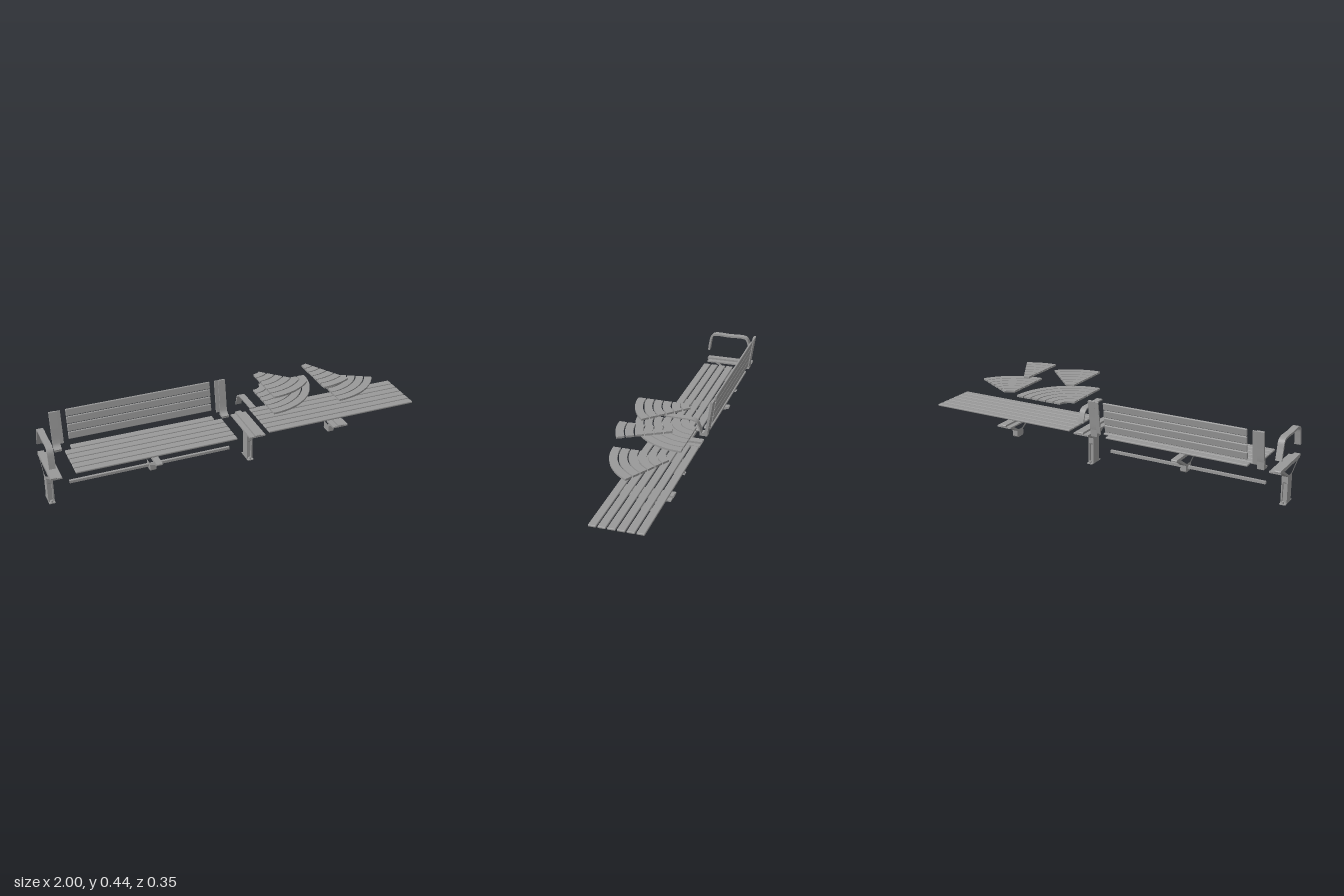
import * as THREE from 'three';
import { RoundedBoxGeometry } from 'three/addons/geometries/RoundedBoxGeometry.js';

export function createModel() {
  const model = new THREE.Group();
  const steel = new THREE.MeshStandardMaterial({ color: 0x999999 });
  steel.name = 'grey';

  const add = (parent, name, geometry, x = 0, y = 0, z = 0) => {
    const mesh = new THREE.Mesh(geometry, steel);
    mesh.name = name;
    mesh.position.set(x, y, z);
    parent.add(mesh);
    return mesh;
  };
  const box = (parent, name, w, h, d, x, y, z) =>
    add(parent, name, new THREE.BoxGeometry(w, h, d), x, y, z);
  const group = (name, x = 0, y = 0, z = 0) => {
    const g = new THREE.Group();
    g.name = name;
    g.position.set(x, y, z);
    model.add(g);
    return g;
  };

  // extrude a (z, y) side profile along x, centred on x = 0
  const sideExtrude = (shape, width) => {
    const g = new THREE.ExtrudeGeometry(shape, { depth: width, bevelEnabled: false });
    g.translate(0, 0, -width / 2);
    return g.rotateY(-Math.PI / 2);
  };
  const points = list => list.map(p => new THREE.Vector2(p[0], p[1]));

  // bent flat bar following a (z, y) path
  const bentBar = (path, thickness, width) => {
    const curve = new THREE.CatmullRomCurve3(
      path.map(p => new THREE.Vector3(p[0], p[1], 0)), false, 'centripetal');
    const one = [], two = [];
    for (let i = 0; i <= 48; i++) {
      const p = curve.getPoint(i / 48), t = curve.getTangent(i / 48);
      const nx = -t.y * thickness / 2, ny = t.x * thickness / 2;
      one.push(new THREE.Vector2(p.x + nx, p.y + ny));
      two.unshift(new THREE.Vector2(p.x - nx, p.y - ny));
    }
    return sideExtrude(new THREE.Shape([...one, ...two]), width);
  };

  // Y-shaped beam: short trunk, two arms and a top rail
  const yoke = (parent, x, y) => {
    const s = new THREE.Shape(points([
      [0.128, 0.163], [0.132, 0.159], [0.131, 0.153], [0.1, 0.143], [0.022, 0.097],
      [0.022, 0.066], [0.017, 0.06], [-0.028, 0.06], [-0.033, 0.066], [-0.033, 0.097],
      [-0.111, 0.143], [-0.142, 0.153], [-0.143, 0.159], [-0.139, 0.163]]));
    s.holes.push(new THREE.Path(points([
      [0.082, 0.147], [0.012, 0.104], [-0.023, 0.104], [-0.093, 0.147]])));
    add(parent, 'yoke', sideExtrude(s, 0.032), x, y, 0);
  };

  // ground legs: channel post, foot plate, bolts, yoke and slat ledge
  const leg = (name, x, ledgeMin, ledgeMax) => {
    const g = group(name, x);
    for (const side of [-1, 1])
      box(g, 'postFlange', 0.007, 0.125, 0.055, side * 0.0125, 0.0625, -0.0055);
    box(g, 'postWeb', 0.02, 0.125, 0.03, 0, 0.0625, -0.0055);
    box(g, 'footPlate', 0.032, 0.004, 0.088, 0, 0.002, -0.006);
    for (const z of [0.029, -0.041])
      add(g, 'bolt', new THREE.CylinderGeometry(0.006, 0.006, 0.012, 12), 0, 0.009, z);
    yoke(g, 0, 0.045);
    box(g, 'slatLedge', ledgeMax - ledgeMin, 0.008, 0.262,
      (ledgeMin + ledgeMax) / 2, 0.193, -0.006);
  };
  leg('endLeg', -0.984, -0.016, 0.043);
  leg('middleLeg', 0.085, -0.043, 0.043);

  // hanging brackets under the seats
  const leftBracket = group('leftBracket', -0.45);
  yoke(leftBracket, 0, -0.004);
  const rightBracket = group('rightBracket', 0.565);
  yoke(rightBracket, 0, 0);
  box(rightBracket, 'slatLedge', 0.085, 0.008, 0.262, 0, 0.149, -0.006);

  // long tie bar
  box(model, 'tieBar', 0.86, 0.014, 0.014, -0.45, 0.079, -0.006);

  // straight seats, six slats each
  const slat = (parent, name, x0, x1, depth) =>
    add(parent, name, new RoundedBoxGeometry(x1 - x0, 0.011, depth, 2, 0.004), (x0 + x1) / 2);
  const seat = (name, x0, x1, notch) => {
    const g = group(name, 0, 0.204, 0);
    for (let i = 0; i < 6; i++) {
      const inset = i === 0 ? notch : 0;
      slat(g, 'seatSlat', x0 + inset, x1 - inset, 0.039).position.z = -0.1225 + i * 0.0455;
    }
  };
  seat('leftSeat', -0.872, -0.026, 0.038);
  seat('rightSeat', 0.15, 1, 0);

  // leaning backrest slats
  const back = group('backrest');
  for (let i = 0; i < 4; i++) {
    const y = 0.258 + i * 0.0408;
    const s = slat(back, 'backSlat', -0.835, -0.065, 0.038);
    s.position.y = y;
    s.position.z = -0.141 - (y - 0.21) * 0.147;
    s.rotation.x = Math.PI / 2 - 0.147;
  }

  // back supports: curved upright with an inner flange
  for (const side of [-1, 1]) {
    const g = group('backSupport', -0.45);
    add(g, 'upright', bentBar([[-0.106, 0.207], [-0.125, 0.212], [-0.137, 0.224],
      [-0.144, 0.245], [-0.155, 0.315], [-0.168, 0.398]], 0.013, 0.038), side * 0.451);
    add(g, 'heel', sideExtrude(new THREE.Shape(points([
      [-0.106, 0.201], [-0.146, 0.201], [-0.15, 0.245], [-0.138, 0.23],
      [-0.126, 0.213], [-0.106, 0.208]])), 0.036), side * 0.451);
    const flange = box(g, 'flange', 0.022, 0.175, 0.008, side * 0.423, 0.31, -0.157);
    flange.rotation.x = -0.147;
  }

  // armrests
  add(model, 'archArmrest', bentBar([[0.124, 0.256], [0.117, 0.305], [0.108, 0.342],
    [0.092, 0.355], [0, 0.355], [-0.09, 0.355], [-0.107, 0.345], [-0.12, 0.305],
    [-0.134, 0.256]], 0.011, 0.032), -0.984);
  add(model, 'openArmrest', bentBar([[0.06, 0.329], [-0.02, 0.328], [-0.09, 0.326],
    [-0.111, 0.316], [-0.123, 0.292], [-0.134, 0.256]], 0.007, 0.032), 0.085);

  // fan-shaped corner seats made of concentric curved slats
  const fan = (name, degrees, x, y) => {
    const g = group(name, x, y, -0.143);
    const a0 = Math.PI / 2 - THREE.MathUtils.degToRad(degrees), a1 = Math.PI / 2;
    for (let i = 0; i < 6; i++) {
      const outer = 0.32 - i * 0.0455, inner = outer - 0.039;
      const s = new THREE.Shape();
      s.absarc(0, 0, outer, a0, a1, false);
      s.absarc(0, 0, inner, a1, a0, true);
      s.closePath();
      const geo = new THREE.ExtrudeGeometry(s,
        { depth: 0.01, bevelEnabled: false, curveSegments: 24 });
      add(g, 'curvedSlat', geo.rotateX(Math.PI / 2));
    }
  };
  fan('quarterFan', 90, 0.15, 0.347);
  fan('sixtyDegreeFan', 60, 0.52, 0.347);
  fan('halfQuarterFan', 45, 0.15, 0.439);
  fan('thirtyDegreeFan', 30, 0.428, 0.439);

  return model;
}
